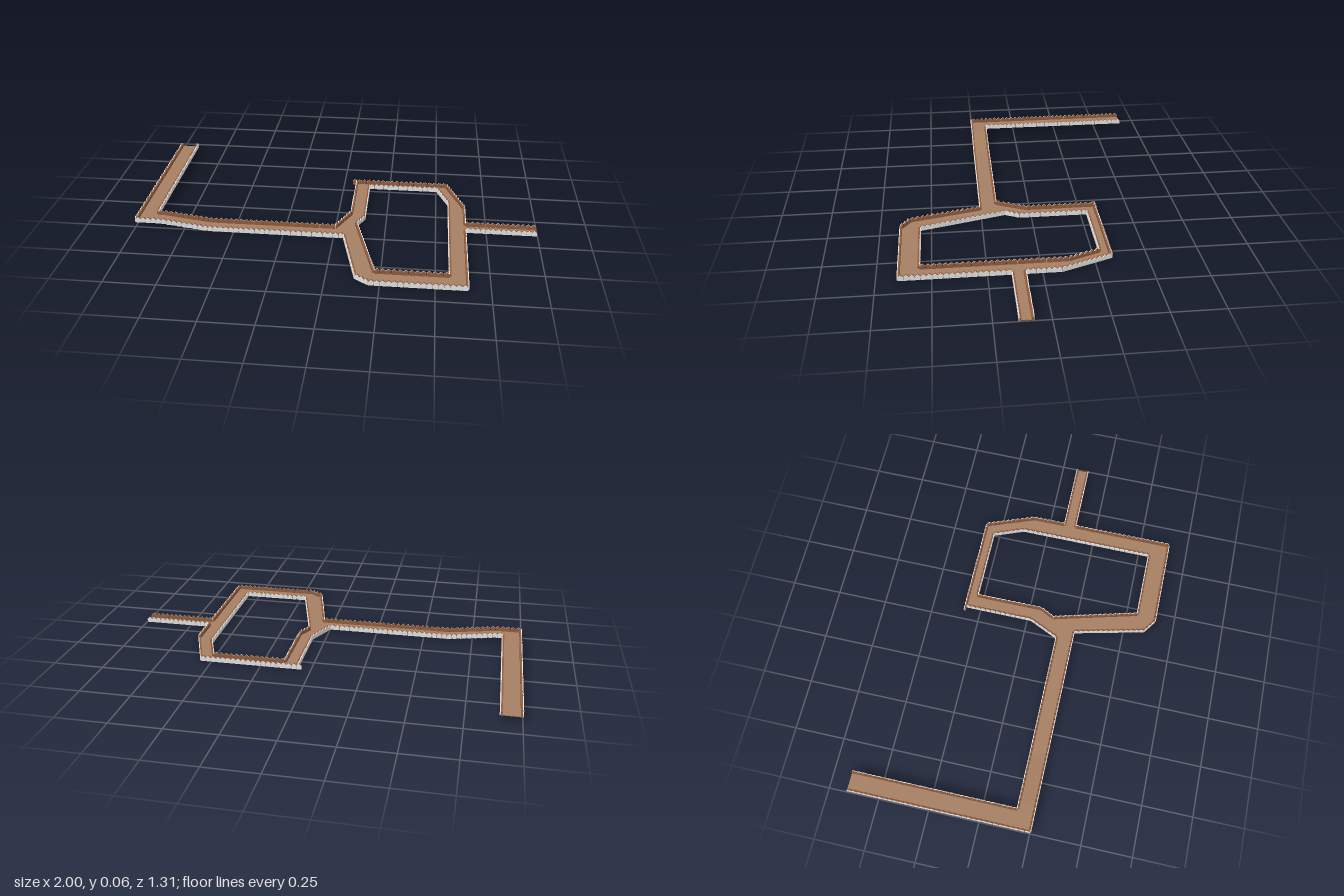
import * as THREE from 'three';
import { mergeGeometries } from 'three/addons/utils/BufferGeometryUtils.js';

const mat = (name, color) => {
  const m = new THREE.MeshStandardMaterial({ color });
  m.name = name;
  return m;
};

// Ground height: the far left stretch is raised, joined by a ramp
const RISE = 0.029, RAMP_TOP = -0.87, RAMP_FOOT = -0.63;
const heightAt = (x) => RISE * THREE.MathUtils.clamp((RAMP_FOOT - x) / (RAMP_FOOT - RAMP_TOP), 0, 1);

// Plan coordinates are [x, z]
const toPoints = (plan) => plan.map(([x, z]) => new THREE.Vector2(x, -z));

const HOLE = [[0.14, -0.283], [0.505, -0.283], [0.565, -0.13], [0.565, 0.555], [0.22, 0.555], [0.105, 0.13], [0.14, 0.06]];

function deck(plan, hole) {
  const shape = new THREE.Shape(toPoints(plan));
  if (hole) shape.holes.push(new THREE.Path(toPoints(hole)));
  const geo = new THREE.ExtrudeGeometry(shape, { depth: 0.004, bevelEnabled: false });
  geo.rotateX(-Math.PI / 2);
  const p = geo.attributes.position;
  for (let i = 0; i < p.count; i++) p.setY(i, p.getY(i) + heightAt(p.getX(i)));
  geo.computeVertexNormals();
  return geo;
}

// One pointed board, local x along the fence, +z facing away from the road
function picketGeometry(w, zStart, depth) {
  const s = new THREE.Shape();
  s.moveTo(-w / 2, 0);
  s.lineTo(w / 2, 0);
  s.lineTo(w / 2, 0.017);
  s.lineTo(0, 0.028);
  s.lineTo(-w / 2, 0.017);
  s.closePath();
  const geo = new THREE.ExtrudeGeometry(s, { depth, bevelEnabled: false });
  return geo.translate(0, 0, zStart);
}

// Palisade along a plan line, with the road on its left hand
function fence(name, line, timber, facing) {
  const boards = [], plates = [];
  for (let k = 0; k < line.length - 1; k++) {
    const [x0, z0] = line[k], [x1, z1] = line[k + 1];
    const length = Math.hypot(x1 - x0, z1 - z0);
    const n = Math.max(1, Math.round(length / 0.026));
    const w = (length / n) * 0.95;
    const board = picketGeometry(w, -0.008, 0.008);
    const plate = picketGeometry(w, 0, 0.004);
    const angle = Math.atan2(z0 - z1, x1 - x0);
    for (let i = 0; i < n; i++) {
      const t = (i + 0.5) / n;
      const x = x0 + (x1 - x0) * t, z = z0 + (z1 - z0) * t;
      const m = new THREE.Matrix4().makeRotationY(angle).setPosition(x, heightAt(x), z);
      boards.push(board.clone().applyMatrix4(m));
      plates.push(plate.clone().applyMatrix4(m));
    }
  }
  const group = new THREE.Group();
  group.name = name;
  const inner = new THREE.Mesh(mergeGeometries(boards), timber);
  inner.name = 'fenceBoards';
  const outer = new THREE.Mesh(mergeGeometries(plates), facing);
  outer.name = 'fenceOuterFacing';
  group.add(inner, outer);
  return group;
}

export function createModel() {
  const root = new THREE.Group();
  root.name = 'fencedWalkway';
  const earth = mat('roadBrown', 0xa57f63);
  const timber = mat('timberBrown', 0x925b3a);
  const facing = mat('paleGrey', 0xe0e1e2);

  // Road surface: raised arm, ramp, and level loop with side branch
  const roads = {
    raisedRoad: deck([[-0.995, -0.655], [-0.905, -0.655], [-0.905, 0.17], [RAMP_TOP, 0.17], [RAMP_TOP, 0.25], [-0.995, 0.25]]),
    rampRoad: deck([[RAMP_TOP, 0.17], [RAMP_FOOT, 0.17], [RAMP_FOOT, 0.25], [RAMP_TOP, 0.25]]),
    loopRoad: deck([
      [RAMP_FOOT, 0.17], [0, 0.17], [0.07, 0.02], [0.07, -0.33], [0.555, -0.33], [0.645, -0.09],
      [0.645, 0.08], [0.995, 0.08], [0.995, 0.138], [0.645, 0.138], [0.645, 0.65], [0.2, 0.65],
      [0.135, 0.605], [0.05, 0.25], [RAMP_FOOT, 0.25],
    ], HOLE),
  };
  for (const [name, geo] of Object.entries(roads)) {
    const mesh = new THREE.Mesh(geo, earth);
    mesh.name = name;
    root.add(mesh);
  }

  // Fences on every road edge, open at both road ends
  const fences = {
    frontFence: [[-0.996, -0.655], [-0.996, 0.252], [0.05, 0.252], [0.135, 0.605], [0.2, 0.651], [0.647, 0.651], [0.647, 0.138], [0.998, 0.138]],
    backFence: [[0.998, 0.079], [0.647, 0.079], [0.647, -0.09], [0.555, -0.332], [0.045, -0.332]],
    innerCornerFence: [[0.068, -0.33], [0.068, 0.02], [0, 0.169], [-0.903, 0.169], [-0.903, -0.655]],
    loopInnerFence: [...HOLE, HOLE[0]],
  };
  for (const [name, line] of Object.entries(fences)) root.add(fence(name, line, timber, facing));
  return root;
}
